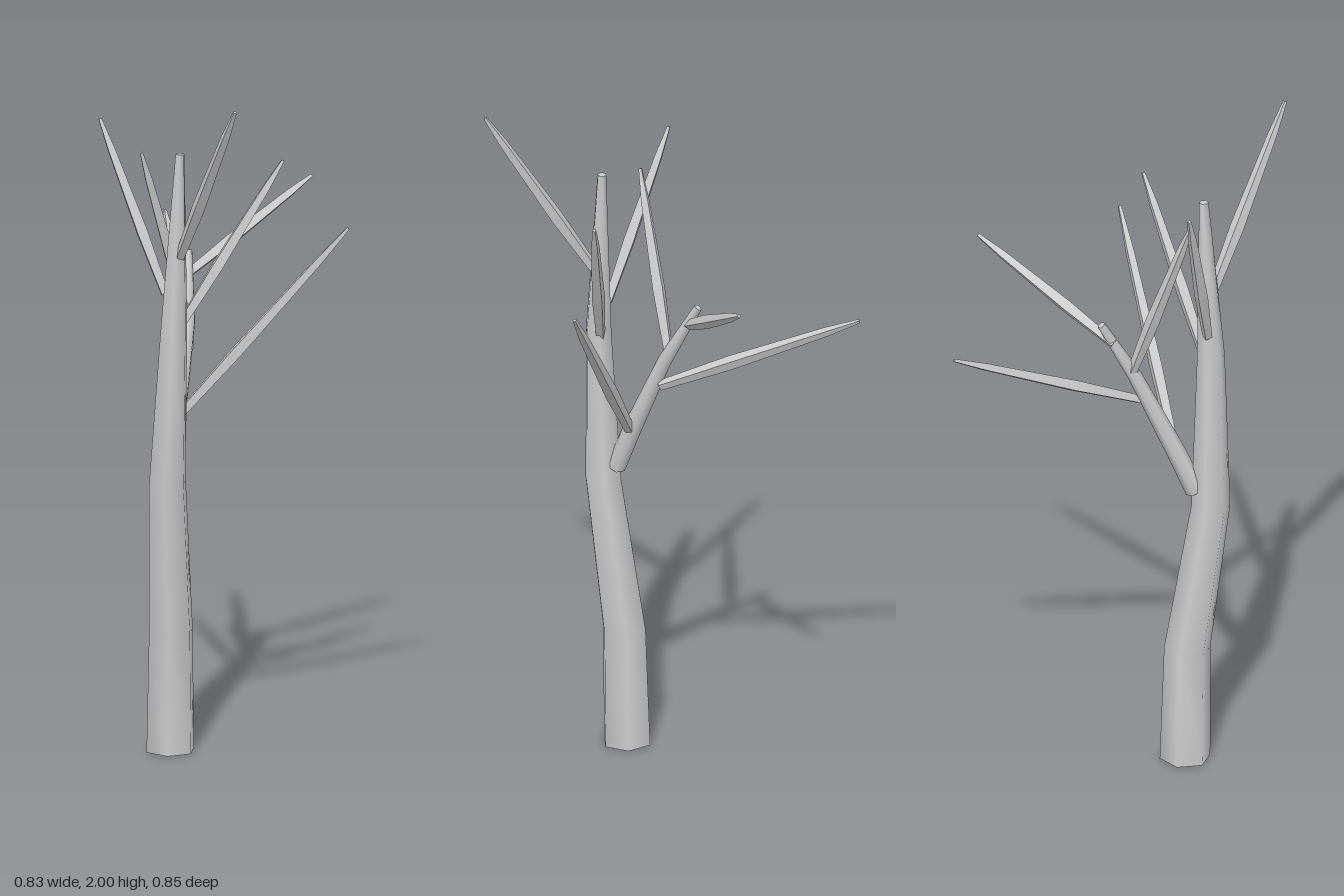
import * as THREE from 'three';

// Tapered limb: rings of `sides` corners, square to the path. Each ring is [x, y, z, radius].
function limb(name, rings, sides, flatShading) {
  const centres = rings.map(r => new THREE.Vector3(r[0], r[1], r[2]));
  const last = rings.length - 1;
  const pos = [], index = [];
  const loops = centres.map((c, i) => {
    const before = centres[Math.max(i - 1, 0)], after = centres[Math.min(i + 1, last)];
    const t = after.clone().sub(before).normalize();
    const u = new THREE.Vector3(0, 0, 1).addScaledVector(t, -t.z).normalize();
    const v = t.clone().cross(u);
    return Array.from({ length: sides }, (_, j) => {
      const a = (j / sides) * Math.PI * 2;
      return c.clone()
        .addScaledVector(u, rings[i][3] * Math.cos(a))
        .addScaledVector(v, rings[i][3] * Math.sin(a));
    });
  });

  // Side walls
  loops.forEach(loop => loop.forEach(p => pos.push(p.x, p.y, p.z)));
  for (let i = 0; i < last; i++) {
    for (let j = 0; j < sides; j++) {
      const a = i * sides + j, b = i * sides + (j + 1) % sides;
      index.push(a, b, a + sides, b, b + sides, a + sides);
    }
  }
  // End caps, with their own corners so the rims stay sharp
  [0, last].forEach(i => {
    const first = pos.length / 3;
    loops[i].forEach(p => pos.push(p.x, p.y, p.z));
    for (let j = 1; j < sides - 1; j++) {
      if (i === 0) index.push(first, first + j + 1, first + j);
      else index.push(first, first + j, first + j + 1);
    }
  });

  const geometry = new THREE.BufferGeometry();
  geometry.setAttribute('position', new THREE.Float32BufferAttribute(pos, 3));
  geometry.setIndex(index);
  geometry.computeVertexNormals();
  const mesh = new THREE.Mesh(geometry, new THREE.MeshStandardMaterial({ color: 0xcccccc, flatShading }));
  mesh.name = name;
  return mesh;
}

// Straight spindle-shaped twig: swells a little, then narrows to a blunt tip
const TWIG_PROFILE = [[0, 0.015], [0.35, 0.021], [0.83, 0.014], [1, 0.006]];
function twig(name, from, to) {
  const rings = TWIG_PROFILE.map(([f, r]) => [...from.map((a, k) => a + (to[k] - a) * f), r]);
  return limb(name, rings, 4, true);
}

export function createModel() {
  const tree = new THREE.Group();
  tree.name = 'bareTree';

  // Leaning hexagonal trunk
  tree.add(limb('trunk', [
    [-0.23, 0, 0.018, 0.075],
    [-0.235, 0.36, 0.024, 0.069],
    [-0.296, 0.82, 0.057, 0.058],
    [-0.29, 1.3, 0.077, 0.041],
    [-0.267, 1.8, 0.081, 0.014],
  ], 6, false));

  // Side branch growing from the trunk
  tree.add(limb('sideBranch', [
    [-0.255, 0.87, 0.04, 0.03],
    [-0.2, 1.0, 0.022, 0.028],
    [-0.09, 1.25, -0.02, 0.021],
    [-0.007, 1.435, -0.082, 0.012],
  ], 6, false));

  // Twigs on the trunk
  const trunkTwigs = new THREE.Group();
  trunkTwigs.name = 'trunkTwigs';
  trunkTwigs.add(
    twig('topTwig', [-0.285, 1.49, 0.09], [-0.414, 2.0, 0.39]),
    twig('backTwig', [-0.29, 1.38, 0.045], [-0.308, 1.875, -0.178]),
    twig('frontTwig', [-0.267, 1.29, 0.085], [-0.02, 1.76, 0.27]),
  );

  // Twigs on the side branch
  const branchTwigs = new THREE.Group();
  branchTwigs.name = 'branchTwigs';
  branchTwigs.add(
    twig('lowFrontTwig', [-0.2, 0.99, 0.022], [0.1, 1.555, 0.417]),
    twig('lowBackTwig', [-0.1, 1.17, -0.01], [0.332, 1.435, -0.42]),
    twig('innerTwig', [-0.085, 1.27, -0.032], [-0.272, 1.785, -0.055]),
    twig('outerTwig', [-0.04, 1.37, -0.067], [0.412, 1.595, 0.05]),
  );

  tree.add(trunkTwigs, branchTwigs);
  return tree;
}
